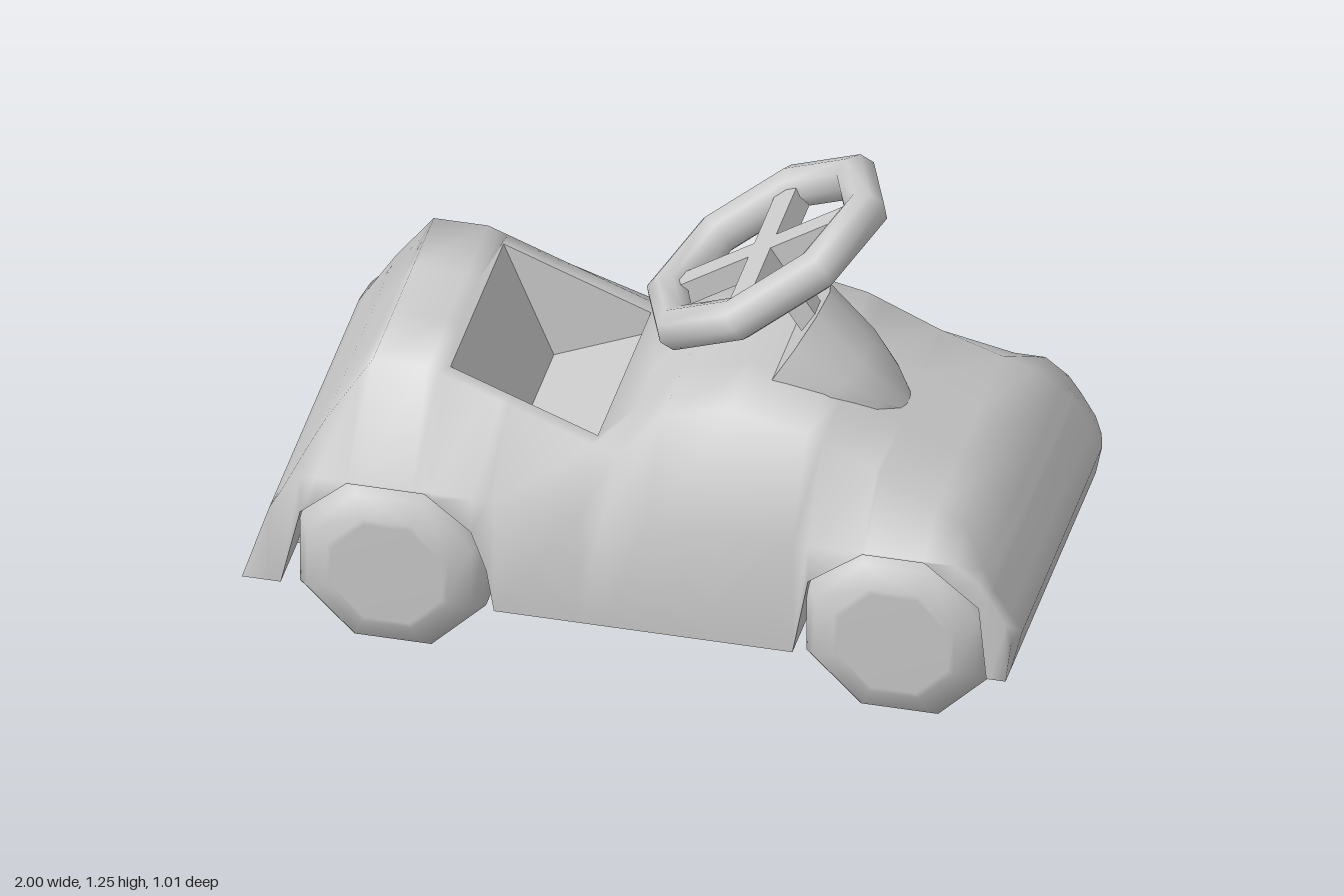
import * as THREE from 'three';
import { mergeVertices, toCreasedNormals } from 'three/addons/utils/BufferGeometryUtils.js';

const grey = new THREE.MeshStandardMaterial({ color: 0xcccccc });
const greyDouble = new THREE.MeshStandardMaterial({ color: 0xcccccc, side: THREE.DoubleSide });

function addMesh(parent, name, geometry, material = grey) {
  const mesh = new THREE.Mesh(geometry, material);
  mesh.name = name;
  parent.add(mesh);
  return mesh;
}

// Skin over cross-sections (arrays of [x, y, z]); skip(i, j) leaves a hole
function loft(sections, skip = () => false) {
  const n = sections[0].length, index = [];
  for (let i = 0; i < sections.length - 1; i++) {
    for (let j = 0; j < n - 1; j++) {
      if (skip(i, j)) continue;
      const a = i * n + j, b = a + n;
      index.push(a, b, b + 1, a, b + 1, a + 1);
    }
  }
  const g = new THREE.BufferGeometry();
  g.setAttribute('position', new THREE.Float32BufferAttribute(sections.flat(2), 3));
  g.setIndex(index);
  const merged = mergeVertices(g);
  merged.computeVertexNormals();
  return merged;
}

// Side-view polyline carried across from z0 to z1
const strip = (points, z0, z1) =>
  toCreasedNormals(loft(points.map(([x, y]) => [[x, y, z0], [x, y, z1]])), 0.6);

// Flat panel from [x, y] corners
const panel = points => new THREE.ShapeGeometry(new THREE.Shape(points.map(p => new THREE.Vector2(...p))));

// Linear interpolation along a list of [x, y] points
function along(points, x) {
  for (let i = 1; i < points.length; i++) {
    const [x0, y0] = points[i - 1], [x1, y1] = points[i];
    if (x <= x1) return y0 + (y1 - y0) * (x - x0) / (x1 - x0);
  }
  return points[points.length - 1][1];
}

const SIDE = 0.477, WELL = 0.3, BASE = 0.16;
const topLine = [[-1, 0.16], [-0.93, 0.38], [-0.81, 0.6], [-0.7, 0.765], [-0.56, 0.765], [-0.07, 0.575],
  [0.05, 0.72], [0.22, 0.762], [0.42, 0.72], [0.61, 0.635], [0.84, 0.53], [0.93, 0.4], [1, 0.28]];
const topHalfWidth = [[-1, SIDE], [-0.93, 0.465], [-0.81, 0.375], [-0.7, 0.322], [0.61, 0.325], [0.84, 0.36], [0.93, 0.43], [1, 0.42]];
const rearArch = [[-0.9, BASE], [-0.85, 0.38], [-0.73, 0.485], [-0.53, 0.485], [-0.41, 0.39], [-0.37, 0.28], [-0.35, BASE]];
const frontArch = [[0.42, BASE], [0.46, 0.38], [0.6, 0.485], [0.76, 0.485], [0.9, 0.37], [0.92, BASE]];
const bottomLine = [[-1, BASE], ...rearArch, ...frontArch, [0.97, BASE], [1, 0.28]];
const seat = { back: -0.51, front: -0.13, half: 0.28 };

// Body skin with wheel arches and a seat opening
function addBody(group) {
  const xs = [...new Set([...topLine, ...bottomLine].map(p => p[0]).concat(seat.back, seat.front))].sort((a, b) => a - b);
  const sections = xs.map(x => {
    const top = along(topLine, x), low = along(bottomLine, x);
    const shoulder = Math.max(low, Math.min(top, 0.49));
    const inner = x >= seat.back && x <= seat.front ? seat.half : 0.1;
    const edge = x === 1 ? 0.985 : x;
    const left = [[edge, low, SIDE], [edge, shoulder, SIDE], [x, top, along(topHalfWidth, x)], [x, top, inner]];
    return [...left, ...left.map(([px, y, z]) => [px, y, -z]).reverse()];
  });
  // Nose tucks back under to the floor
  sections.push(sections[sections.length - 1].map(p => [0.97, BASE, p[2]]));
  addMesh(group, 'body', loft(sections, (i, j) => j === 3 && xs[i] >= seat.back && xs[i] < seat.front));

  // Floor, notched for the wheels
  const edge = [[-1, SIDE]];
  for (const arch of [rearArch, frontArch]) {
    const a = arch[0][0], b = arch[arch.length - 1][0];
    edge.push([a, SIDE], [a, WELL], [b, WELL], [b, SIDE]);
  }
  edge.push([0.97, SIDE]);
  const floor = panel([...edge, ...edge.map(([x, z]) => [x, -z]).reverse()]);
  addMesh(group, 'floor', floor.rotateX(Math.PI / 2).translate(0, BASE, 0));

  // Wheel wells: arch lining and inner wall
  for (const arch of [rearArch, frontArch]) {
    const under = [...arch].reverse();
    addMesh(group, 'archLining', strip(under, SIDE, WELL));
    addMesh(group, 'archLining', strip(under, -WELL, -SIDE));
    for (const s of [1, -1]) addMesh(group, 'wellWall', panel(arch), greyDouble).position.z = s * WELL;
  }
}

// Sunken seat
function addSeat(group) {
  const line = [[seat.back, along(topLine, seat.back)], [-0.38, 0.43], [-0.15, 0.53], [seat.front, along(topLine, seat.front)]];
  addMesh(group, 'seat', strip(line, seat.half, -seat.half));
  for (const s of [1, -1]) addMesh(group, 'seatSide', panel(line), greyDouble).position.z = s * seat.half;
}

// Eight-sided wheels with rounded shoulders
function addWheels(group) {
  const k = 1 / Math.cos(Math.PI / 8);
  const profile = [[0, -0.092], [0.14, -0.092], [0.155, -0.09], [0.212, -0.065], [0.24, -0.025],
    [0.24, 0.025], [0.212, 0.065], [0.155, 0.09], [0.14, 0.092], [0, 0.092]];
  const g = new THREE.LatheGeometry(profile.map(([r, y]) => new THREE.Vector2(r * k, y)), 8, Math.PI / 8);
  g.rotateX(Math.PI / 2);
  for (const [x, name] of [[-0.622, 'rearWheel'], [0.685, 'frontWheel']]) {
    for (const s of [1, -1]) addMesh(group, name, g).position.set(x, 0.24, s * 0.411);
  }
}

// Steering wheel: rim, crossed spokes and column
function addSteering(group) {
  const steering = new THREE.Group();
  steering.name = 'steeringWheel';
  steering.position.set(0.238, 1.028, 0);
  steering.rotation.z = 0.575;
  addMesh(steering, 'rim', new THREE.TorusGeometry(0.303, 0.057, 8, 8).rotateX(Math.PI / 2));
  addMesh(steering, 'spoke', new THREE.BoxGeometry(0.56, 0.06, 0.063)).position.y = -0.008;
  addMesh(steering, 'spoke', new THREE.BoxGeometry(0.068, 0.06, 0.56)).position.y = -0.008;
  addMesh(steering, 'column', new THREE.BoxGeometry(0.06, 0.34, 0.06)).position.y = -0.17;
  group.add(steering);
}

// Pointed cowl that holds the column
function addCowl(group) {
  const arc = (x, y, dx, dy, w) => Array.from({ length: 7 }, (_, j) => {
    const a = Math.PI * j / 6, s = Math.sin(a);
    return [x + dx * s, y + dy * s, w * Math.cos(a)];
  });
  const sections = [
    arc(0.28, 0.735, 0, 0, 0),
    arc(0.28, 0.735, 0.12, 0.197, 0.153),
    arc(0.42, 0.695, 0.09, 0.107, 0.148),
    arc(0.54, 0.655, 0.03, 0.055, 0.1),
    arc(0.6, 0.632, 0.005, 0.004, 0.04),
    arc(0.61, 0.63, 0, 0, 0),
  ];
  addMesh(group, 'cowl', toCreasedNormals(loft(sections), 1));
}

export function createModel() {
  const group = new THREE.Group();
  group.name = 'rideOnCar';
  const shell = new THREE.Group();
  shell.name = 'shell';
  shell.position.z = 0.007;
  group.add(shell);
  addBody(shell);
  addSeat(shell);
  addSteering(shell);
  addCowl(shell);
  addWheels(group);
  return group;
}
